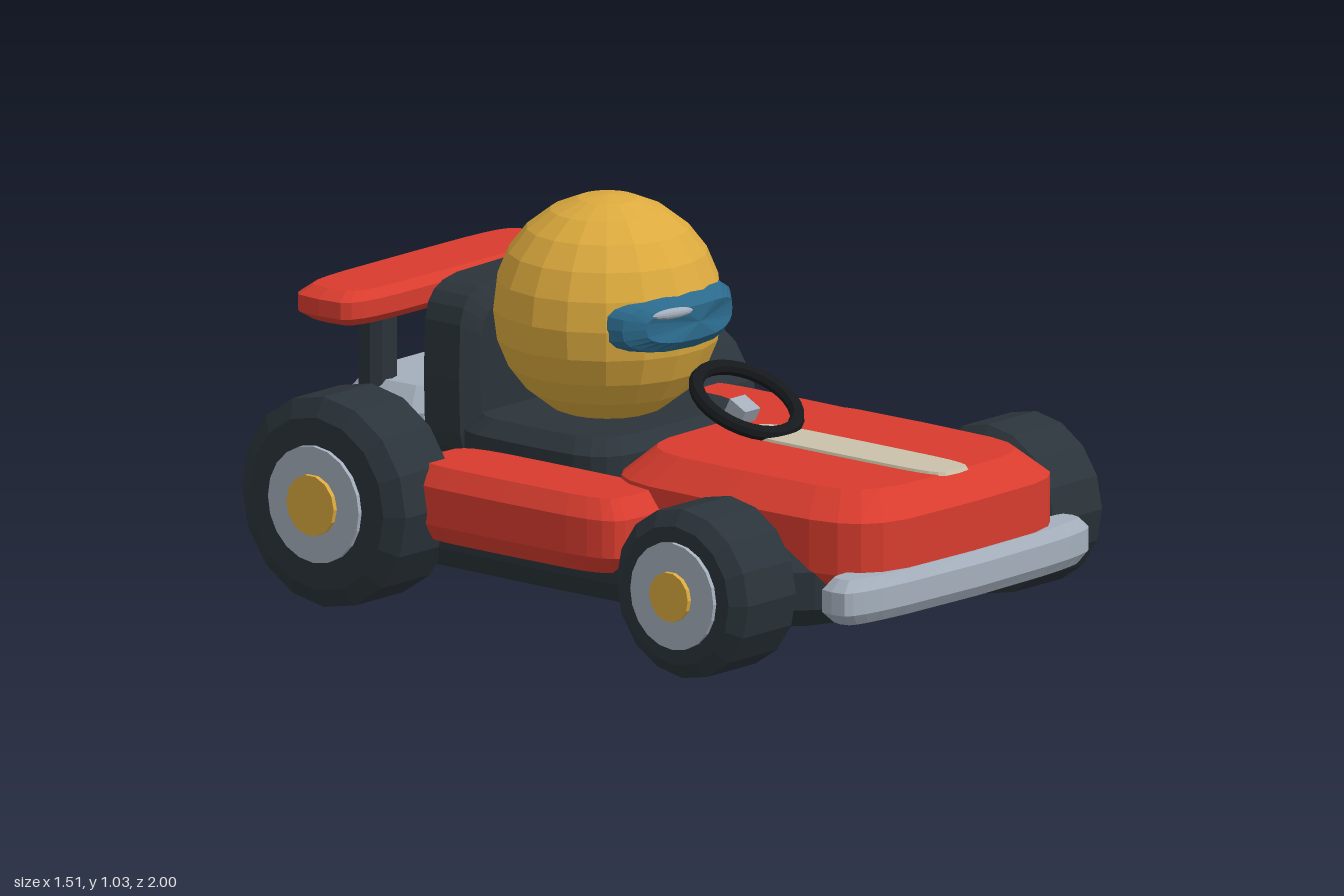
import * as THREE from 'three';

const paint = (name, color) => {
  const m = new THREE.MeshStandardMaterial({ color });
  m.name = name;
  return m;
};

// Faceted normals
function facet(geo) {
  const g = geo.index ? geo.toNonIndexed() : geo;
  g.computeVertexNormals();
  return g;
}

// Rounded block: stacked superellipse rings, each layer is [height, halfX, halfZ]
function loft(layers, power = 5, sides = 24) {
  const pos = [], index = [];
  const soft = (v) => Math.sign(v) * Math.pow(Math.abs(v), 2 / power);
  for (const [y, hx, hz] of layers) {
    for (let j = 0; j < sides; j++) {
      const a = (j / sides) * Math.PI * 2;
      pos.push(hx * soft(Math.cos(a)), y, hz * soft(Math.sin(a)));
    }
  }
  const n = layers.length;
  pos.push(0, layers[0][0], 0, 0, layers[n - 1][0], 0);
  const bottom = n * sides, top = bottom + 1;
  for (let j = 0; j < sides; j++) {
    const k = (j + 1) % sides;
    for (let i = 0; i < n - 1; i++) {
      const a = i * sides + j, b = i * sides + k;
      index.push(a, a + sides, b, b, a + sides, b + sides);
    }
    index.push(bottom, j, k, top, (n - 1) * sides + k, (n - 1) * sides + j);
  }
  const g = new THREE.BufferGeometry();
  g.setAttribute('position', new THREE.Float32BufferAttribute(pos, 3));
  g.setIndex(index);
  return g;
}

// Sweep the outer ends backwards
function bend(geo, amount) {
  const p = geo.attributes.position;
  for (let i = 0; i < p.count; i++) p.setZ(i, p.getZ(i) - amount * p.getX(i) ** 2);
  return geo;
}

export function createModel() {
  const red = paint('red bodywork', 0xd83c2e);
  const dark = paint('charcoal', 0x2b343a);
  const black = paint('black grip', 0x16191c);
  const gray = paint('light metal', 0xa4afbc);
  const gold = paint('gold', 0xdcaa3e);
  const blue = paint('blue visor', 0x2b6a8c);
  const cream = paint('cream', 0xc9c1a9);

  const model = new THREE.Group();
  model.name = 'goKart';
  const add = (name, geo, mat, x = 0, y = 0, z = 0, parent = model) => {
    const mesh = new THREE.Mesh(facet(geo), mat);
    mesh.name = name;
    mesh.position.set(x, y, z);
    parent.add(mesh);
    return mesh;
  };

  // Floor and bodywork
  add('chassis', loft([[0.11, 0.5, 0.81], [0.17, 0.55, 0.88], [0.27, 0.55, 0.88], [0.33, 0.5, 0.82]]), dark, 0, 0, -0.04);
  add('hood', loft([[0.23, 0.4, 0.44], [0.27, 0.43, 0.47], [0.41, 0.43, 0.47], [0.48, 0.35, 0.4]]), red, 0, 0, 0.5);
  add('hoodStripe', loft([[0.478, 0.075, 0.36], [0.487, 0.072, 0.355]]), cream, 0, 0, 0.56);
  add('frontBumper', bend(loft([[0.16, 0.46, 0.045], [0.19, 0.49, 0.065], [0.25, 0.49, 0.065], [0.28, 0.46, 0.045]]), 0.1),
    gray, 0, 0, 0.932);

  // Seat and engine
  add('seatBase', loft([[0.3, 0.33, 0.28], [0.42, 0.33, 0.28], [0.46, 0.29, 0.24]]), dark, 0, 0, -0.28);
  add('seatBack', loft([[-0.09, 0.27, 0.2], [-0.06, 0.31, 0.25], [0.06, 0.31, 0.25], [0.09, 0.26, 0.2]]).rotateX(Math.PI / 2),
    dark, 0, 0.55, -0.58);
  add('engine', loft([[0.24, 0.28, 0.14], [0.29, 0.32, 0.18], [0.44, 0.32, 0.18], [0.5, 0.27, 0.14]]), gray, 0, 0, -0.785);

  // Rear wing
  add('rearWing', loft([[0.665, 0.41, 0.09], [0.69, 0.45, 0.12], [0.735, 0.45, 0.12], [0.757, 0.41, 0.095]]), red, 0, 0, -0.88);

  // Mirrored pods, struts and wheels
  for (const [side, s] of [['left', 1], ['right', -1]]) {
    add(`${side}SidePod`, loft([[0.2, 0.11, 0.33], [0.25, 0.145, 0.38], [0.35, 0.145, 0.38], [0.4, 0.11, 0.34]]),
      red, s * 0.475, 0, -0.11);
    add(`${side}WingStrut`, new THREE.CylinderGeometry(0.05, 0.05, 0.25, 10), dark, s * 0.25, 0.555, -0.85);

    for (const [end, r, y, z, rim, cap] of [
      ['Front', 0.225, 0.233, 0.58, 0.142, 0.066],
      ['Rear', 0.28, 0.28, -0.645, 0.155, 0.081],
    ]) {
      const wheel = new THREE.Group();
      wheel.name = `${side}${end}Wheel`;
      wheel.position.set(s * 0.605, y, z);
      if (s < 0) wheel.rotation.y = Math.PI;
      model.add(wheel);
      const profile = [[0, -0.125], [r * 0.82, -0.125], [r, -0.095], [r, 0.095], [r * 0.82, 0.125], [0, 0.125]]
        .map(([a, b]) => new THREE.Vector2(a, b));
      add('tyre', new THREE.LatheGeometry(profile, 16).rotateZ(-Math.PI / 2), dark, 0, 0, 0, wheel);
      add('rim', new THREE.CylinderGeometry(rim, rim, 0.04, 20).rotateZ(-Math.PI / 2), gray, 0.117, 0, 0, wheel);
      add('hubCap', new THREE.CylinderGeometry(cap, cap, 0.04, 14).rotateZ(-Math.PI / 2), gold, 0.13, 0, 0, wheel);
    }
  }

  // Steering
  const steering = new THREE.Group();
  steering.name = 'steering';
  steering.position.set(0, 0.555, 0.195);
  steering.rotation.x = 0.48;
  model.add(steering);
  add('steeringWheel', new THREE.TorusGeometry(0.14, 0.02, 8, 28).rotateX(Math.PI / 2), black, 0, 0, 0, steering);
  add('steeringHub', new THREE.BoxGeometry(0.06, 0.04, 0.06), gray, 0, -0.03, 0, steering);
  add('steeringColumn', new THREE.CylinderGeometry(0.02, 0.03, 0.08, 8), gray, 0, -0.07, 0, steering);

  // Driver helmet
  add('helmet', new THREE.SphereGeometry(0.3, 18, 12), gold, 0, 0.73, -0.28);
  add('visor', bend(loft([[-0.1, 0.22, 0.078], [-0.03, 0.23, 0.083], [0.015, 0.215, 0.07], [0.037, 0.17, 0.045]], 3)
    .rotateX(Math.PI / 2), 1.3), blue, 0, 0.74, 0);
  const glint = add('visorGlint', new THREE.SphereGeometry(1, 12, 8).scale(0.065, 0.014, 0.012), gray, -0.095, 0.777, 0.025);
  glint.rotation.y = -0.22;

  return model;
}
